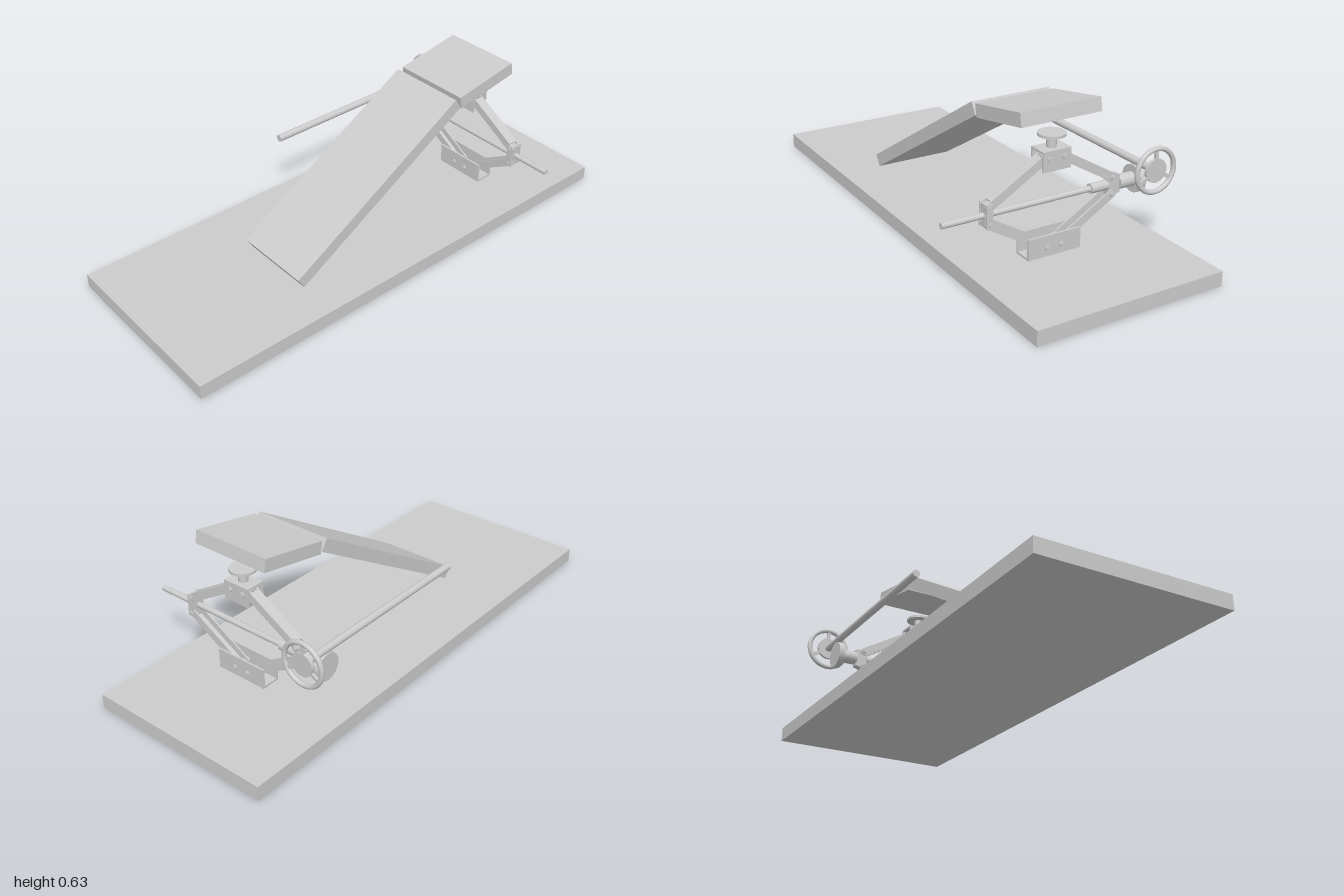
import * as THREE from 'three';

const mat = new THREE.MeshStandardMaterial({ color: 0xcccccc });
const JX = 0.014, JY = 0.27, JZ = -0.587; // jack centre

export function createModel() {
  const root = new THREE.Group();

  const add = (parent, name, geo, x = 0, y = 0, z = 0) => {
    const m = new THREE.Mesh(geo, mat);
    m.name = name;
    m.position.set(x, y, z);
    parent.add(m);
    return m;
  };
  const box = (parent, name, w, h, d, x, y, z) =>
    add(parent, name, new THREE.BoxGeometry(w, h, d), x, y, z);
  const cyl = (parent, name, r, len, axis, x, y, z) => {
    const g = new THREE.CylinderGeometry(r, r, len, 32);
    if (axis === 'x') g.rotateZ(Math.PI / 2);
    if (axis === 'z') g.rotateX(Math.PI / 2);
    return add(parent, name, g, x, y, z);
  };
  // Cylinder along x between two x positions on the screw axis
  const shaft = (name, r, x0, x1) => cyl(root, name, r, x1 - x0, 'x', (x0 + x1) / 2, JY, JZ);
  const extrudeZ = (shape, depth) => {
    const g = new THREE.ExtrudeGeometry(shape, { depth, bevelEnabled: false, curveSegments: 16 });
    return g.translate(0, 0, -depth / 2);
  };

  // Base board
  box(root, 'baseBoard', 0.765, 0.058, 2, -0.0425, 0.029, 0);

  // Sloping planks, given by centre line from front end to back end
  const plank = (name, z0, y0, z1, y1, t) => {
    const m = box(root, name, 0.328, t, Math.hypot(z1 - z0, y1 - y0), JX, (y0 + y1) / 2, (z0 + z1) / 2);
    m.rotation.x = Math.atan2(y1 - y0, z0 - z1);
  };
  plank('rampPlank', 0.442, 0.09, -0.344, 0.558, 0.051);
  plank('upperPlank', -0.36, 0.555, -0.643, 0.606, 0.051);

  // Channel-section scissor arm between two pivots, web on the outer side
  const arm = (x0, y0, x1, y1, side) => {
    const g = new THREE.Group();
    g.name = 'scissorArm';
    const len = Math.hypot(x1 - x0, y1 - y0), r = 0.016;
    const s = new THREE.Shape();
    s.absarc(len, 0, r, -Math.PI / 2, Math.PI / 2);
    s.absarc(0, 0, r, Math.PI / 2, Math.PI * 1.5);
    for (const k of [-1, 1]) add(g, 'armPlate', extrudeZ(s, 0.006), 0, 0, k * 0.018);
    box(g, 'armWeb', len - 0.03, 0.006, 0.036, len / 2, side * 0.013, 0);
    g.position.set(x0, y0, JZ);
    g.rotation.z = Math.atan2(y1 - y0, x1 - x0);
    root.add(g);
  };
  const pin = (x, y, len) => {
    cyl(root, 'pivotPin', 0.008, len, 'z', x, y, JZ);
    for (const k of [-1, 1]) cyl(root, 'pinHead', 0.011, 0.005, 'z', x, y, JZ + k * (len / 2 - 0.006));
  };
  const LX = -0.243, RX = 0.271;
  for (const s of [-1, 1]) {
    const yEnd = JY + s * 0.032, yMid = JY + s * 0.165;
    arm(LX, yEnd, JX - 0.03, yMid, s);
    arm(JX + 0.03, yMid, RX, yEnd, s);
    for (const x of [LX, RX]) pin(x, yEnd, 0.06);
    for (const x of [JX - 0.03, JX + 0.03]) pin(x, yMid, 0.092);
  }

  // U-shaped brackets: wide foot, narrower inverted head
  const bracket = (name, w, y0, y1, plateY) => {
    const g = new THREE.Group();
    g.name = name;
    for (const k of [-1, 1]) box(g, 'bracketWall', w, y1 - y0, 0.008, JX, (y0 + y1) / 2, JZ + k * 0.034);
    box(g, 'bracketPlate', w, 0.008, 0.076, JX, plateY, JZ);
    root.add(g);
  };
  bracket('jackFoot', 0.22, 0.072, 0.152, 0.076);
  bracket('jackHead', 0.115, 0.39, 0.465, 0.461);

  // Lifting pad on top of the head
  cyl(root, 'padNeck', 0.018, 0.05, 'y', JX, 0.488, JZ);
  cyl(root, 'liftPad', 0.05, 0.01, 'y', JX, 0.513, JZ);

  // Knuckles that carry the screw
  const leftShape = new THREE.Shape([
    [-0.281, 0.236], [-0.245, 0.225], [-0.229, 0.232], [-0.229, 0.308], [-0.245, 0.315], [-0.281, 0.304],
  ].map(([x, y]) => new THREE.Vector2(x, y)));
  add(root, 'leftKnuckle', extrudeZ(leftShape, 0.029), 0, 0, JZ);
  box(root, 'rightKnuckle', 0.028, 0.085, 0.029, RX, JY, JZ);
  for (const k of [-1, 1]) box(root, 'rightKnuckleCheek', 0.026, 0.09, 0.005, RX + 0.002, JY, JZ + k * 0.0235);

  // Screw, sleeves and drive wheel
  shaft('jackScrew', 0.011, -0.16, 0.447);
  shaft('innerSleeve', 0.019, -0.232, -0.157);
  shaft('outerSleeve', 0.027, -0.348, -0.278);
  shaft('driveWheel', 0.053, -0.37, -0.346);

  // Crank rod with its handwheel
  const WX = -0.358, WY = 0.338;
  cyl(root, 'crankRod', 0.0145, 0.83, 'z', WX, WY, -0.29);
  const wheel = new THREE.Group();
  wheel.name = 'handwheel';
  wheel.position.set(WX, WY, -0.7);
  root.add(wheel);
  add(wheel, 'wheelRim', new THREE.TorusGeometry(0.082, 0.0095, 16, 64));
  cyl(wheel, 'wheelHub', 0.045, 0.012, 'z', 0, 0, 0);
  for (let i = 0; i < 3; i++) {
    const a = Math.PI / 2 + i * Math.PI * 2 / 3;
    const spoke = box(wheel, 'wheelSpoke', 0.045, 0.014, 0.009, Math.cos(a) * 0.058, Math.sin(a) * 0.058, 0);
    spoke.rotation.z = a;
  }
  return root;
}
